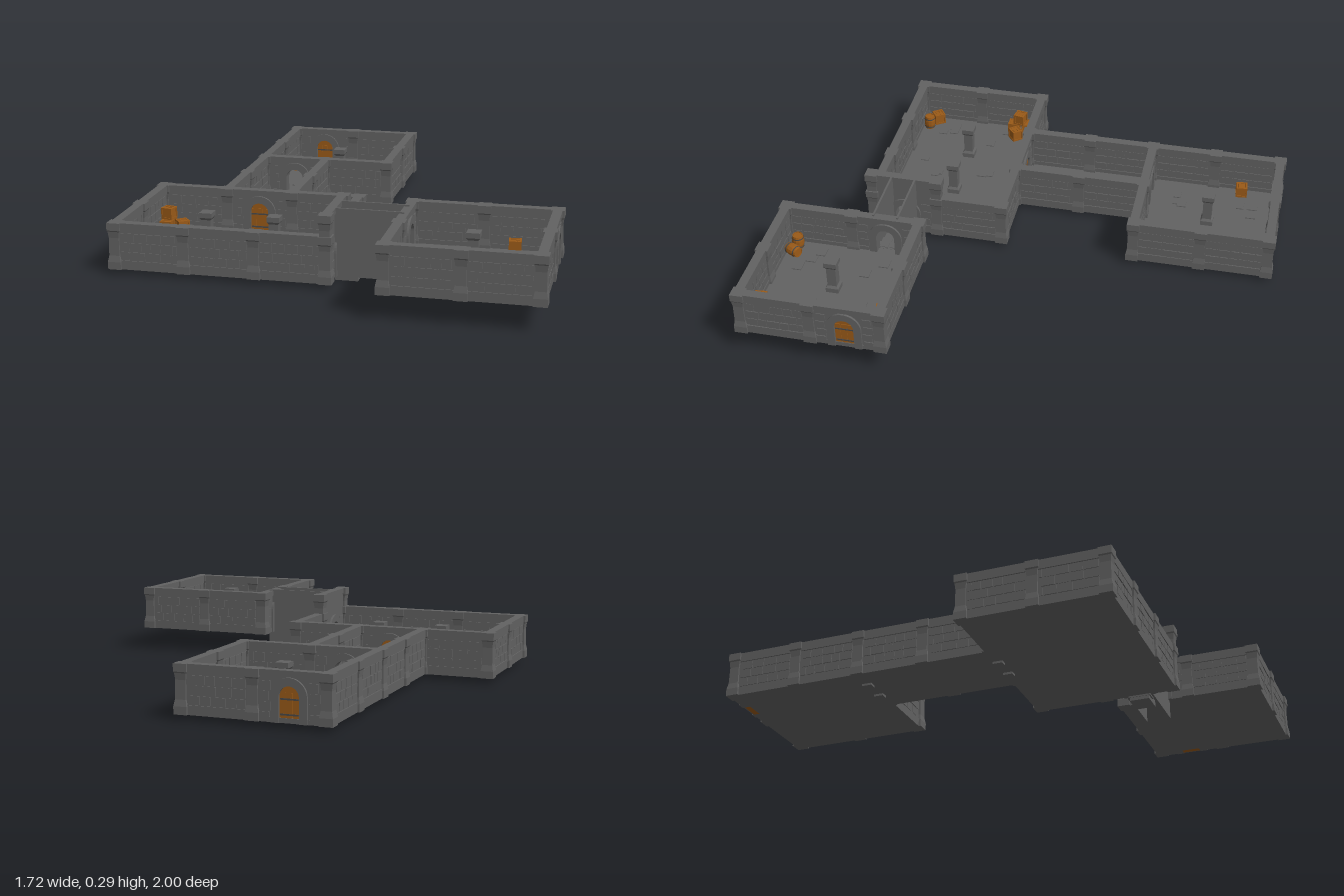
import * as THREE from 'three';
import { mergeGeometries } from 'three/addons/utils/BufferGeometryUtils.js';

const stone = new THREE.MeshStandardMaterial({ color: 0x626262 });
const wood = new THREE.MeshStandardMaterial({ color: 0x9a5a18 });
const iron = new THREE.MeshStandardMaterial({ color: 0x4a4a4a });

// Plan grid: one wall segment per cell side
const STEP = 0.278, H = 0.186, LOW = 0.02, HIGH = 0.098, FLOOR = 0.018;
const gx = k => -0.834 + STEP * k;
const gz = k => -0.973 + STEP * k;

let seed = 7;
const rnd = () => (seed = (seed * 16807) % 2147483647) / 2147483647;

function box(w, h, d, x = 0, y = 0, z = 0) {
  return new THREE.BoxGeometry(w, h, d).translate(x, y, z);
}
function mesh(name, geometry, material, parent) {
  const m = new THREE.Mesh(geometry, material);
  m.name = name;
  parent.add(m);
  return m;
}

// Square pillar turned from a profile of [half width, height]
function squareColumn(profile) {
  const pts = profile.map(([r, y]) => new THREE.Vector2(r * Math.SQRT2, y));
  const g = new THREE.LatheGeometry(pts, 4).rotateY(Math.PI / 4).toNonIndexed();
  g.computeVertexNormals();
  return g;
}
function postGeometry(h) {
  return squareColumn([[0, 0], [0.026, 0], [0.026, 0.03], [0.021, 0.055], [0.02, h - 0.06],
    [0.023, h - 0.035], [0.026, h - 0.03], [0.026, h], [0, h]]);
}

// Outline with an arched opening cut from the bottom edge
function archedShape(outer, half, spring) {
  const s = new THREE.Shape();
  outer(s);
  s.lineTo(half, 0);
  s.lineTo(half, spring);
  s.absarc(0, spring, half, 0, Math.PI, false);
  s.lineTo(-half, 0);
  s.closePath();
  return s;
}
function extrude(shape, depth) {
  return new THREE.ExtrudeGeometry(shape, { depth, bevelEnabled: false, curveSegments: 10 })
    .translate(0, 0, -depth / 2);
}
const HALF = 0.038, SPRING = 0.094;

// Plain masonry: core, plinth, coping and staggered bricks showing on both faces
function brickWall(h) {
  const parts = [box(STEP, h, 0.026, 0, h / 2), box(STEP, 0.036, 0.034, 0, 0.018),
    box(STEP, 0.038, 0.036, 0, h - 0.019)];
  const rows = Math.round((h - 0.074) / 0.037), rh = (h - 0.074) / rows;
  for (let r = 0; r < rows; r++) {
    let x = -0.115;
    while (x < 0.1) {
      const w = Math.min(0.035 + rnd() * 0.03, 0.115 - x);
      parts.push(box(w - 0.005, rh - 0.005, 0.03 + rnd() * 0.005, x + w / 2, 0.036 + rh * (r + 0.5)));
      x += w;
    }
  }
  return mergeGeometries(parts);
}

// Masonry pierced by an arch with a raised surround
function archWall(h) {
  const wall = archedShape(s => {
    s.moveTo(-STEP / 2, 0); s.lineTo(-STEP / 2, h); s.lineTo(STEP / 2, h); s.lineTo(STEP / 2, 0);
  }, HALF, SPRING);
  const o = HALF + 0.03;
  const surround = archedShape(s => {
    s.moveTo(-o, 0); s.lineTo(-o, SPRING);
    s.absarc(0, SPRING, o, Math.PI, 0, true);
    s.lineTo(o, 0);
  }, HALF, SPRING);
  const parts = [extrude(wall, 0.027), extrude(surround, 0.045)];
  const solids = [box(STEP, 0.022, 0.036, 0, h - 0.011)];
  for (const sx of [-1, 1]) {
    solids.push(box(0.04, 0.036, 0.034, sx * 0.095, 0.018));
    for (let r = 0; r < 3; r++) solids.push(box(0.036, 0.032, 0.033, sx * (0.09 + 0.006 * (r % 2)), 0.056 + r * 0.037));
  }
  return mergeGeometries([...parts, ...solids.map(g => g.toNonIndexed())]);
}

// Arched plank door with two iron straps
function makeDoor(parent) {
  const door = new THREE.Group();
  door.name = 'door';
  const s = new THREE.Shape();
  s.moveTo(-HALF, 0); s.lineTo(HALF, 0); s.lineTo(HALF, SPRING);
  s.absarc(0, SPRING, HALF, 0, Math.PI, false);
  s.closePath();
  mesh('doorLeaf', extrude(s, 0.024), wood, door);
  for (const x of [-0.025, 0, 0.025]) mesh('doorPlank', box(0.02, 0.105, 0.029, x, 0.055), wood, door);
  for (const y of [0.03, 0.085]) mesh('doorStrap', box(0.07, 0.006, 0.032, 0, y), iron, door);
  parent.add(door);
  return door;
}

function makeCrate(parent, x, y, z, turn = 0, size = 0.048) {
  const crate = new THREE.Group();
  crate.name = 'crate';
  const s = size, e = 0.007, parts = [box(s - 0.006, s - 0.006, s - 0.006)];
  for (const a of [-1, 1]) for (const b of [-1, 1]) {
    const p = a * (s - e) / 2, q = b * (s - e) / 2;
    parts.push(box(s, e, e, 0, p, q), box(e, s, e, p, 0, q), box(e, e, s, p, q, 0));
  }
  for (const p of [-0.009, 0.009]) parts.push(box(s - 0.014, s - 0.002, 0.009, 0, 0, p));
  mesh('crateBoards', mergeGeometries(parts), wood, crate);
  crate.position.set(x, y + s / 2, z);
  crate.rotation.y = turn;
  parent.add(crate);
}

function makeBarrel(parent, x, y, z, lying = false, turn = 0) {
  const barrel = new THREE.Group();
  barrel.name = 'barrel';
  const pts = [[0, -0.027], [0.018, -0.027], [0.018, -0.03], [0.021, -0.03], [0.025, -0.01],
    [0.025, 0.01], [0.021, 0.03], [0.018, 0.03], [0.018, 0.027], [0, 0.027]];
  const g = new THREE.LatheGeometry(pts.map(p => new THREE.Vector2(...p)), 12).toNonIndexed();
  g.computeVertexNormals();
  mesh('barrelStaves', g, wood, barrel);
  for (const h of [-0.02, 0.02]) {
    mesh('barrelHoop', new THREE.CylinderGeometry(0.0252, 0.0252, 0.006, 12, 1, true).translate(0, h, 0), iron, barrel);
  }
  barrel.rotation.set(lying ? Math.PI / 2 : 0, turn, 0, 'YXZ');
  barrel.position.set(x, y + (lying ? 0.025 : 0.03), z);
  parent.add(barrel);
}

export function createModel() {
  const model = new THREE.Group();
  model.name = 'dungeon';
  const posts = new Set();

  function addPost(i, k, y, h = H) {
    const id = `${i},${k},${y}`;
    if (posts.has(id)) return;
    posts.add(id);
    mesh('post', postGeometry(h), stone, model).position.set(gx(i), y, gz(k));
  }
  // One wall segment between neighbouring grid points; kind: wall, arch or door
  function addWall(i0, k0, i1, k1, y, kind = 'wall', h = H) {
    const seg = new THREE.Group();
    seg.name = kind === 'wall' ? 'wallSegment' : 'archSegment';
    mesh('masonry', kind === 'wall' ? brickWall(h) : archWall(h), stone, seg);
    if (kind === 'door') makeDoor(seg);
    seg.position.set((gx(i0) + gx(i1)) / 2, y, (gz(k0) + gz(k1)) / 2);
    if (i0 === i1) seg.rotation.y = Math.PI / 2;
    model.add(seg);
    addPost(i0, k0, y, h);
    addPost(i1, k1, y, h);
  }
  // Rectangular room; openings maps "side+index" to a wall kind or 'none'
  function addRoom(name, i0, i1, k0, k1, y, openings) {
    const w = gx(i1) - gx(i0) + 0.034, d = gz(k1) - gz(k0) + 0.034;
    mesh(name + 'Floor', box(w, FLOOR, d, (gx(i0) + gx(i1)) / 2, y + FLOOR / 2, (gz(k0) + gz(k1)) / 2), stone, model);
    const put = (id, ...a) => { const kind = openings[id] || 'wall'; if (kind !== 'none') addWall(...a, y, kind); };
    for (let i = i0; i < i1; i++) {
      put('back' + i, i, k0, i + 1, k0);
      put('front' + i, i, k1, i + 1, k1);
    }
    for (let k = k0; k < k1; k++) {
      put('right' + k, i0, k, i0, k + 1);
      put('left' + k, i1, k, i1, k + 1);
    }
    // Worn flagstones standing just proud of the floor
    for (let i = i0; i < i1; i++) for (let k = k0; k < k1; k++) for (let n = 0; n < 3; n++) {
      const stoneSlab = mesh('flagstone', box(0.03 + rnd() * 0.02, 0.004, 0.03 + rnd() * 0.015), stone, model);
      stoneSlab.position.set(gx(i) + 0.07 + rnd() * 0.14, y + FLOOR + 0.002, gz(k) + 0.07 + rnd() * 0.14);
    }
  }

  addRoom('backRoom', 1, 3, 0, 2, LOW, { back1: 'door', front1: 'arch' });
  addRoom('corridor', 1, 2, 2, 4, LOW, { back1: 'none', front1: 'none' });
  addRoom('mainRoom', 0, 3, 4, 6, LOW, { back1: 'door', left5: 'none' });
  addRoom('raisedRoom', 4, 6, 5, 7, HIGH, { right5: 'arch', left5: 'door' });

  // Tall archway from the main room to the stairs
  const tall = HIGH + H - LOW + 0.006;
  addWall(3, 5, 3, 6, LOW, 'arch', tall);
  for (const k of [5, 6]) mesh('tallPost', postGeometry(tall), stone, model).position.set(gx(3), LOW, gz(k));

  // Stair passage: thin side walls and rising steps with block edging
  const sz = (gz(5) + gz(6)) / 2;
  for (const s of [-1, 1]) {
    mesh('stairSideWall', box(0.28, 0.27, 0.008, 0.14, 0.155, sz + s * 0.05), stone, model);
  }
  const steps = 6;
  for (let n = 0; n < steps; n++) {
    const x = 0.03 + n * 0.044, top = 0.036 + (n + 1) * 0.0135;
    mesh('step', box(0.044, 0.036, 0.092, x, top - 0.018, sz), stone, model);
    for (const s of [-1, 1]) mesh('stepBlock', box(0.03, 0.005, 0.036, x, top, sz + s * 0.021), stone, model);
  }
  mesh('stairFooting', box(0.09, 0.03, 0.08, 0.055, 0.015, sz), stone, model);

  // Jamb footings under the two corridor arches
  for (const k of [2, 4]) for (const s of [-1, 1]) {
    mesh('jambFooting', box(0.03, 0.01, 0.04, (gx(1) + gx(2)) / 2 + s * 0.053, 0.016, gz(k)), stone, model);
  }

  // Free-standing pillars
  const pillar = squareColumn([[0, 0], [0.026, 0], [0.026, 0.02], [0.019, 0.03], [0.019, 0.115],
    [0.026, 0.125], [0.026, 0.145], [0, 0.145]]);
  for (const [i, k, y] of [[2, 1, LOW], [1, 5, LOW], [2, 5, LOW], [5, 6, HIGH]]) {
    mesh('pillar', pillar, stone, model).position.set(gx(i), y + FLOOR, gz(k));
  }

  // Crates: x, z, turn, stack level
  const lo = LOW + FLOOR, hi = HIGH + FLOOR;
  for (const [x, z, turn, level = 0, y = lo] of [
    [-0.05, -0.93, 0.1], [-0.05, -0.87, -0.15], [-0.045, -0.9, 0.2, 1], [-0.505, -0.82, 0.1],
    [-0.79, 0.2, 0.3], [-0.785, 0.26, 0], [-0.785, 0.23, -0.2, 1], [-0.725, 0.24, 0.7], [-0.785, 0.62, 0.6],
    [0.68, 0.46, 0.1, 0, hi], [0.725, 0.915, 0.2, 0, hi], [0.785, 0.925, 0, 0, hi], [0.755, 0.922, 0.1, 1, hi],
  ]) makeCrate(model, x, y + level * 0.048, z, turn);

  // Barrels: x, z, lying, turn
  for (const [x, z, lying, turn, y = lo] of [
    [-0.1, -0.48], [-0.045, -0.472], [-0.05, -0.53, true, 0.5],
    [-0.11, 0.195], [-0.05, 0.195], [-0.1, 0.25, true, -0.5], [-0.735, 0.65],
    [0.33, 0.92, false, 0, hi], [0.385, 0.922, true, -0.5, hi],
  ]) makeBarrel(model, x, y, z, lying, turn);

  // Fallen door lying in the corridor
  const fallen = makeDoor(model);
  fallen.name = 'fallenDoor';
  fallen.rotation.set(-Math.PI / 2, 0.42, 0, 'YXZ');
  fallen.position.set(-0.365, lo + 0.016, -0.25);

  return model;
}
